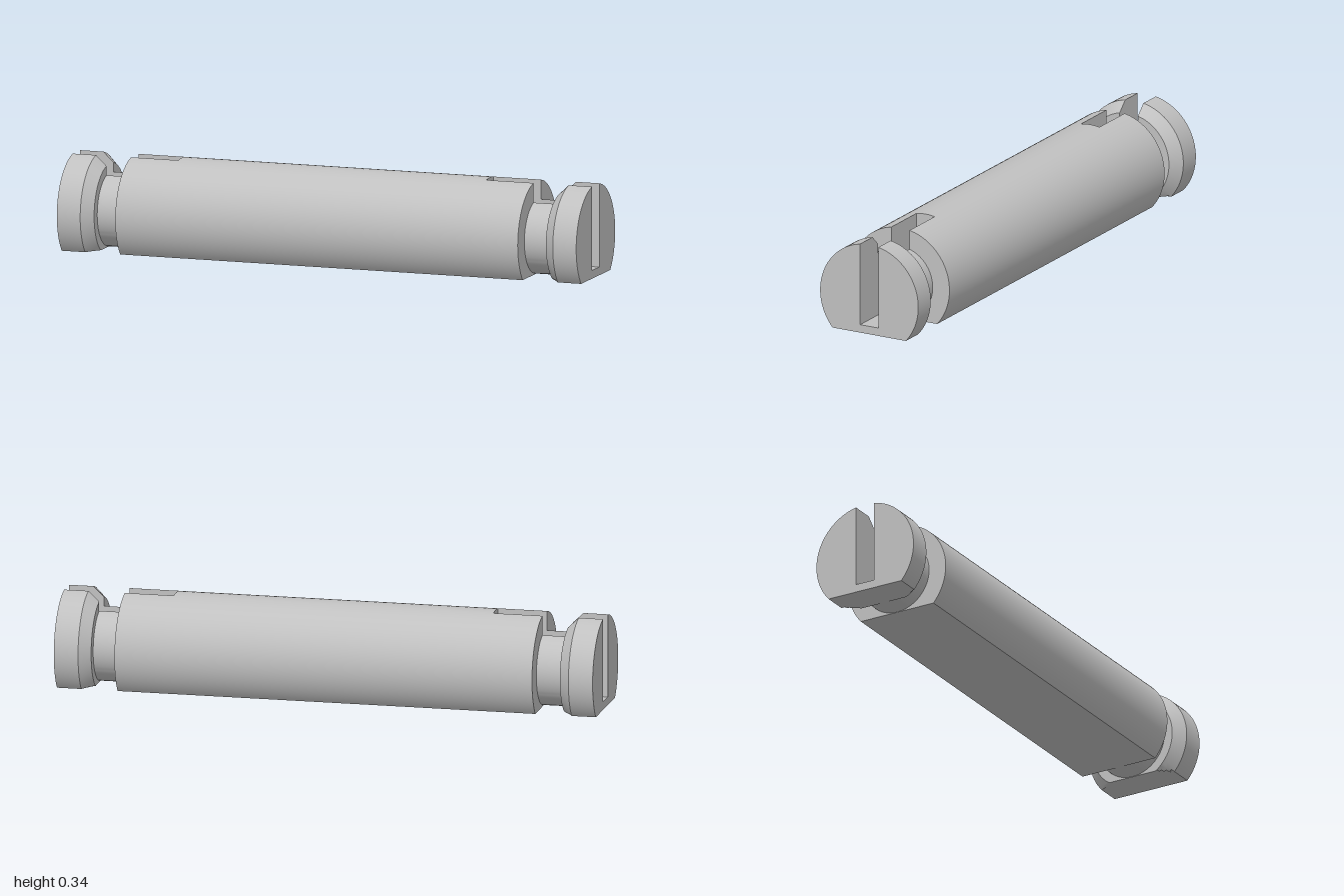
import * as THREE from 'three';
import { toCreasedNormals } from 'three/addons/utils/BufferGeometryUtils.js';

const AXIS = 0.136;           // height of the pin axis above its flat underside
const R = 0.205, NECK = 0.135, LIP = 0.168;
const SLOT = 0.038, FLOOR = 0.03;
const CORNER = Math.acos(-AXIS / R);

// Angles from the top, down one side, to the bottom; CORNER is where the flat begins
const angles = [];
for (let i = 0; i < 28; i++) angles.push(0.3 + (CORNER - 0.3) * i / 28);
for (let i = 0; i <= 14; i++) angles.push(CORNER + (Math.PI - CORNER) * i / 14);

// Closed outline (z, y): round, cut flat below, with or without the key slot
function outline(r, slotted) {
  const onArc = z => AXIS + Math.sqrt(r * r - z * z);
  const ring = [];
  for (let i = -2; i <= 2; i++) {
    const z = SLOT * i / 2;
    ring.push(new THREE.Vector2(z, slotted ? FLOOR : onArc(z)));
  }
  const side = [new THREE.Vector2(SLOT, onArc(SLOT))];
  for (const a of angles) {
    const c = Math.cos(a);
    const rho = c < 0 ? Math.min(r, AXIS / -c) : r;
    side.push(new THREE.Vector2(rho * Math.sin(a), AXIS + rho * c));
  }
  const mirrored = side.slice(0, -1).reverse().map(p => new THREE.Vector2(-p.x, p.y));
  return [...ring, ...side, ...mirrored];
}

function pinGeometry() {
  // Half of the pin, from the slot end outwards: [x, radius, slotted]
  const half = [[0.593, R, false], [0.593, R, true], [0.775, R, true], [0.775, NECK, true],
    [0.87, NECK, true], [0.87, LIP, true]];
  for (let i = 1; i <= 4; i++) half.push([0.87 + 0.01 * i, LIP + (R - LIP) * i / 4, true]);
  half.push([1, R, true]);
  const stations = [...half.map(([x, r, s]) => [-x, r, s]).reverse(), ...half];
  const rings = stations.map(([x, r, s]) =>
    outline(r, s).map(p => new THREE.Vector3(x, p.y, p.x)));

  const positions = [];
  const tri = (a, b, c) => {
    const area = b.clone().sub(a).cross(c.clone().sub(a)).length();
    if (area > 1e-9) for (const p of [a, b, c]) positions.push(p.x, p.y, p.z);
  };

  // Skin between neighbouring outlines; equal x values make the step faces
  for (let s = 0; s < rings.length - 1; s++) {
    const A = rings[s], B = rings[s + 1], n = A.length;
    for (let i = 0; i < n; i++) {
      const j = (i + 1) % n;
      tri(A[i], A[j], B[j]);
      tri(A[i], B[j], B[i]);
    }
  }

  // End faces
  const flat = outline(R, true);
  const faces = THREE.ShapeUtils.triangulateShape(flat.slice().reverse(), []);
  for (const [ring, sign] of [[rings[0], -1], [rings[rings.length - 1], 1]]) {
    const pts = ring.slice().reverse();
    for (const [i, j, k] of faces) {
      const [a, b, c] = [pts[i], pts[j], pts[k]];
      const nx = b.clone().sub(a).cross(c.clone().sub(a)).x;
      if (nx * sign > 0) tri(a, b, c); else tri(a, c, b);
    }
  }

  const geometry = new THREE.BufferGeometry();
  geometry.setAttribute('position', new THREE.Float32BufferAttribute(positions, 3));
  return toCreasedNormals(geometry, 0.4);
}

export function createModel() {
  const steel = new THREE.MeshStandardMaterial({ color: 0xc0c0c0 });
  steel.name = 'steelGrey';
  const group = new THREE.Group();
  group.name = 'slottedPin';
  const pin = new THREE.Mesh(pinGeometry(), steel);
  pin.name = 'pinBody';
  group.add(pin);
  return group;
}
